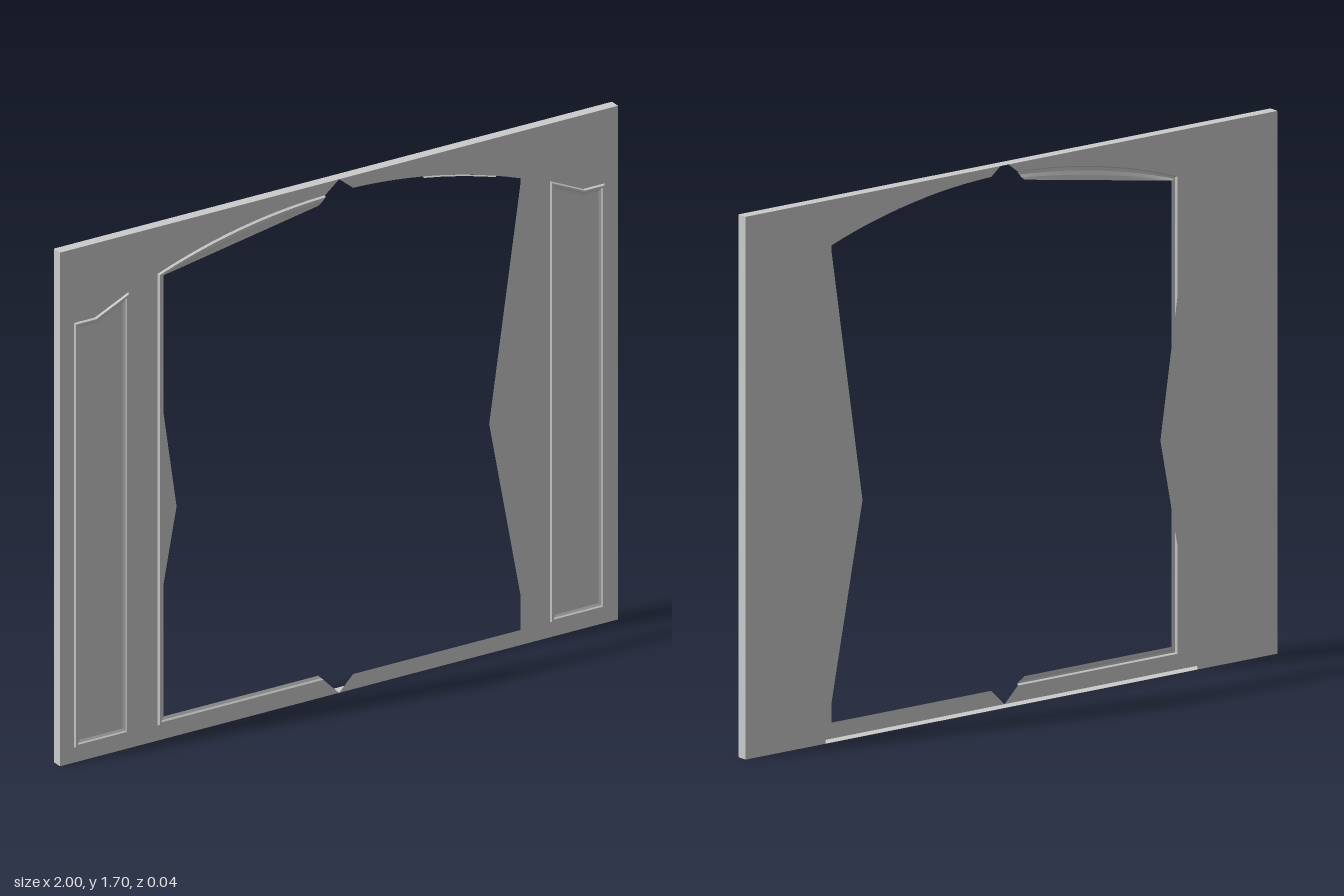
import * as THREE from 'three';

const W = 1, H = 1.7, BACK = -0.021, FACE = 0.014, RIDGE = 0.021;
const material = new THREE.MeshStandardMaterial({ color: 0xcccccc, side: THREE.DoubleSide, flatShading: true });

// Height of the shallow arch over the opening
const RADIUS = 1.894;
const archY = (x) => 1.66 - RADIUS + Math.sqrt(RADIUS * RADIUS - x * x);
const archXs = Array.from({ length: 13 }, (_, i) => 0.65 - (0.6 * i) / 12);

function add(group, name, geometry) {
  const mesh = new THREE.Mesh(geometry, material);
  mesh.name = name;
  group.add(mesh);
  return mesh;
}

// Flat sheet from an outline, written for +x and mirrored by side
function sheet(points, side, z) {
  const outline = points.map(([x, y]) => new THREE.Vector2(x * side, y));
  return new THREE.ShapeGeometry(new THREE.Shape(outline)).translate(0, 0, z);
}

// Skin between successive rows of [x, y, z] points
function skin(rows, closed, side) {
  const n = rows[0].length, index = [];
  const position = rows.flat().flatMap(([x, y, z]) => [x * side, y, z]);
  for (let r = 0; r < rows.length - 1; r++) {
    for (let i = 0; i < (closed ? n : n - 1); i++) {
      const a = r * n + i, b = r * n + ((i + 1) % n), c = a + n, d = b + n;
      // Outlines run clockwise on +x, so the mirrored side swaps the order
      if (side > 0) index.push(a, c, b, b, c, d);
      else index.push(a, b, c, b, d, c);
    }
  }
  const geometry = new THREE.BufferGeometry();
  geometry.setAttribute('position', new THREE.Float32BufferAttribute(position, 3));
  geometry.setIndex(index);
  geometry.computeVertexNormals();
  return geometry;
}

// Moulding profile: inset from the outline and height
const profile = [[0, FACE], [0.003, RIDGE], [0.009, RIDGE], [0.013, 0.017], [0.021, FACE + 0.0005]];

export function createModel() {
  const model = new THREE.Group();
  model.name = 'archedWallPanel';

  // Rim walls of the shallow box
  const depth = FACE - BACK, mid = (FACE + BACK) / 2;
  for (const side of [-1, 1]) {
    const end = new THREE.PlaneGeometry(depth, H).rotateY((side * Math.PI) / 2);
    add(model, side > 0 ? 'leftEdge' : 'rightEdge', end.translate(side * W, H / 2, mid));
    const rim = new THREE.PlaneGeometry(2 * W, depth).rotateX((-side * Math.PI) / 2);
    add(model, side > 0 ? 'topEdge' : 'bottomEdge', rim.translate(0, side > 0 ? H : 0, mid));
  }

  const arch = archXs.map((x) => [x, archY(x)]);
  for (const side of [-1, 1]) {
    const half = new THREE.Group();
    half.name = side > 0 ? 'leftHalf' : 'rightHalf';
    model.add(half);

    // Front sheet with the arched opening and the pointed notches at the middle
    add(half, 'frontSheet', sheet([
      [W, 0], [0, 0], [0.05, 0.05], [0.65, 0.05], ...arch, [0, H], [W, H],
    ], side, FACE));

    // Back sheet with its pointed inner edge
    add(half, 'backSheet', sheet([[W, 0], [0.7, 0], [0.56, 0.74], [0.7, H], [W, H]], side, BACK));

    // Raised moulding around the tall side panel
    add(half, 'panelMoulding', skin(profile.map(([d, z]) => [
      [0.95 - d, 0.05 + d, z], [0.755 + d, 0.05 + d, z], [0.755 + d, 1.51 - 1.6 * d, z],
      [0.875, 1.455 - d, z], [0.95 - d, 1.455 - d, z],
    ]), true, side));
  }

  // Opening trim on one half only; its arch flattens into a chord at the inner edge
  const trim = profile.map(([d, z], r) => {
    const flat = r / (profile.length - 1);
    const top = archXs.map((x, i) => {
      const t = i / (archXs.length - 1);
      const chord = 1.535 + 0.095 * t;
      const curve = archY(x) - d * 0.7;
      const blend = flat * flat;
      return [x + d * (t * 2.2 - 1), curve * (1 - blend) + chord * blend, z];
    });
    return [[0.05 + d * 1.2, 0.05 + d * 1.2, z], [0.65 - d, 0.05 + d * 1.2, z], ...top];
  });
  add(model, 'openingTrim', skin(trim, false, -1));

  // Short remnant of trim along the other half of the arch
  const remnant = [0.56, 0.5, 0.43, 0.36, 0.3];
  add(model, 'archSliver', skin([
    remnant.map((x) => [x, archY(x), FACE]),
    remnant.map((x) => [x, archY(x) - 0.003, RIDGE - 0.002]),
  ], false, 1));

  return model;
}
